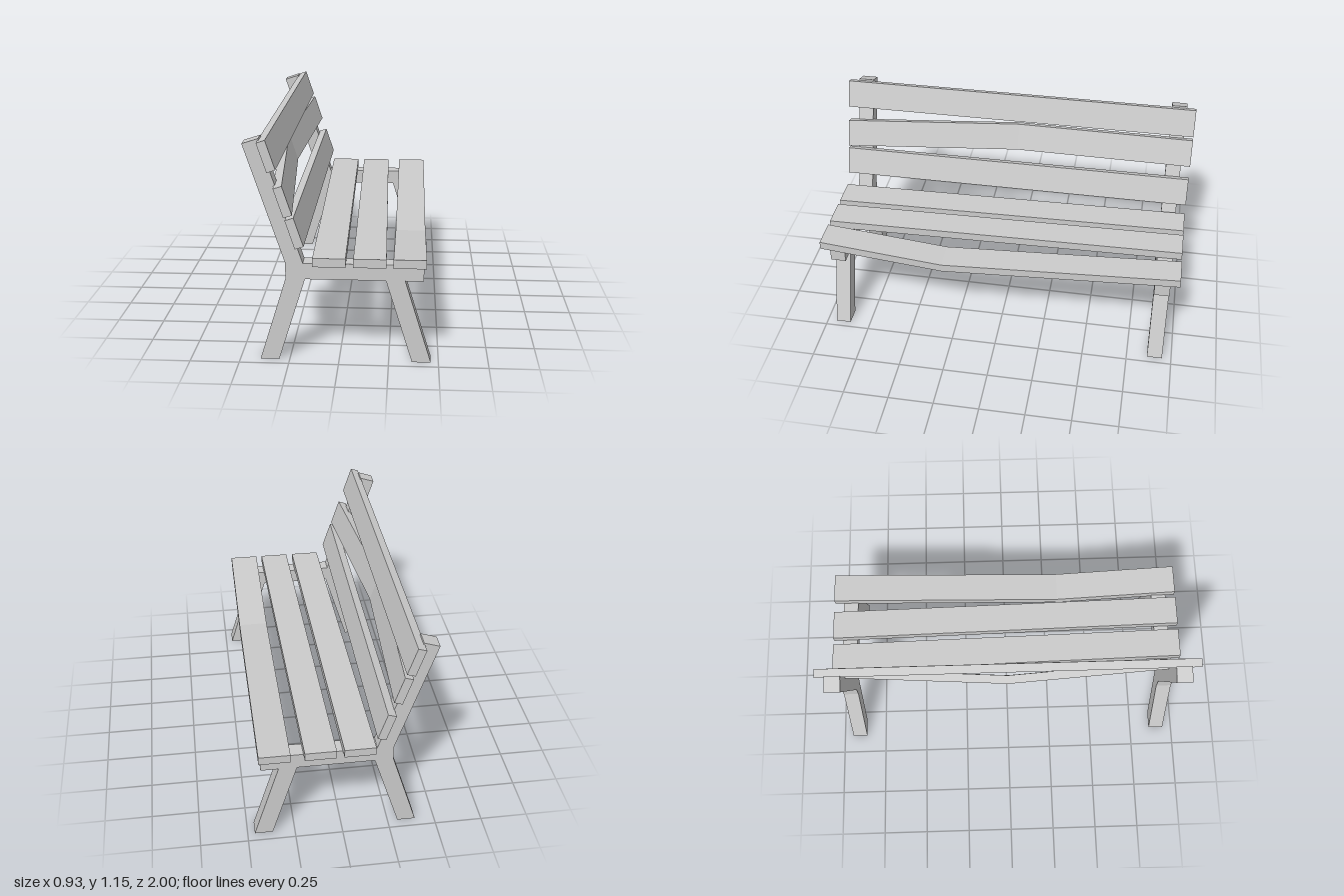
import * as THREE from 'three';

const material = new THREE.MeshStandardMaterial({ color: 0xcccccc, flatShading: true });

// Plank running along z through three stations [x, y, z], from z = -1 to z = 1
function plank(name, width, height, tilt, stations) {
  const geometry = new THREE.BoxGeometry(width, height, 2, 1, 1, 2);
  geometry.rotateZ(tilt);
  const p = geometry.attributes.position;
  for (let i = 0; i < p.count; i++) {
    const [x, y, z] = stations[Math.round(p.getZ(i)) + 1];
    p.setXYZ(i, p.getX(i) + x, p.getY(i) + y, z);
  }
  const flat = geometry.toNonIndexed();
  flat.computeVertexNormals();
  const mesh = new THREE.Mesh(flat, material);
  mesh.name = name;
  return mesh;
}

// Straight plank between two end centres
function straightPlank(name, width, height, tilt, [x0, y0], [x1, y1]) {
  return plank(name, width, height, tilt,
    [[x0, y0, -1], [(x0 + x1) / 2, (y0 + y1) / 2, 0], [x1, y1, 1]]);
}

// Side frame: both splayed legs, seat rail and leaning back post in one outline
function sideFrame(name, z) {
  const outline = [
    [-0.398, 0], [-0.303, 0], [-0.168, 0.433], [0.233, 0.433], [0.367, 0], [0.462, 0],
    [0.328, 0.433], [0.42, 0.433], [0.42, 0.516], [-0.178, 0.516], [-0.385, 1.142],
    [-0.465, 1.116], [-0.265, 0.516], [-0.265, 0.433],
  ].map(([x, y]) => new THREE.Vector2(x, y));
  const depth = 0.084;
  const geometry = new THREE.ExtrudeGeometry(new THREE.Shape(outline), { depth, bevelEnabled: false });
  geometry.translate(0, 0, z - depth / 2);
  const mesh = new THREE.Mesh(geometry, material);
  mesh.name = name;
  return mesh;
}

export function createModel() {
  const bench = new THREE.Group();
  bench.name = 'bench';

  bench.add(sideFrame('leftEndFrame', -0.907), sideFrame('rightEndFrame', 0.907));

  // Seat: two slightly skewed slats and a sagging front slat
  const seat = new THREE.Group();
  seat.name = 'seat';
  const sy = 0.538, w = 0.162, t = 0.045;
  seat.add(
    straightPlank('rearSeatSlat', w, t, 0, [-0.083, sy], [-0.045, sy]),
    straightPlank('middleSeatSlat', w, t, 0, [0.118, sy], [0.155, sy]),
    plank('saggingFrontSlat', w, t, 0, [[0.351, sy, -1], [0.351, 0.467, 0.31], [0.351, sy, 1]]),
  );

  // Backrest: two straight slats and a crooked one bowed backwards
  const back = new THREE.Group();
  back.name = 'backrest';
  const lean = 0.32, h = 0.153;
  back.add(
    straightPlank('topBackSlat', t, h, lean, [-0.343, 1.066], [-0.343, 1.066]),
    plank('bowedBackSlat', t, h, lean, [[-0.287, 0.902, -1], [-0.343, 0.872, 0], [-0.267, 0.842, 1]]),
    straightPlank('lowerBackSlat', t, h, lean, [-0.213, 0.684], [-0.213, 0.684]),
  );

  bench.add(seat, back);
  return bench;
}
